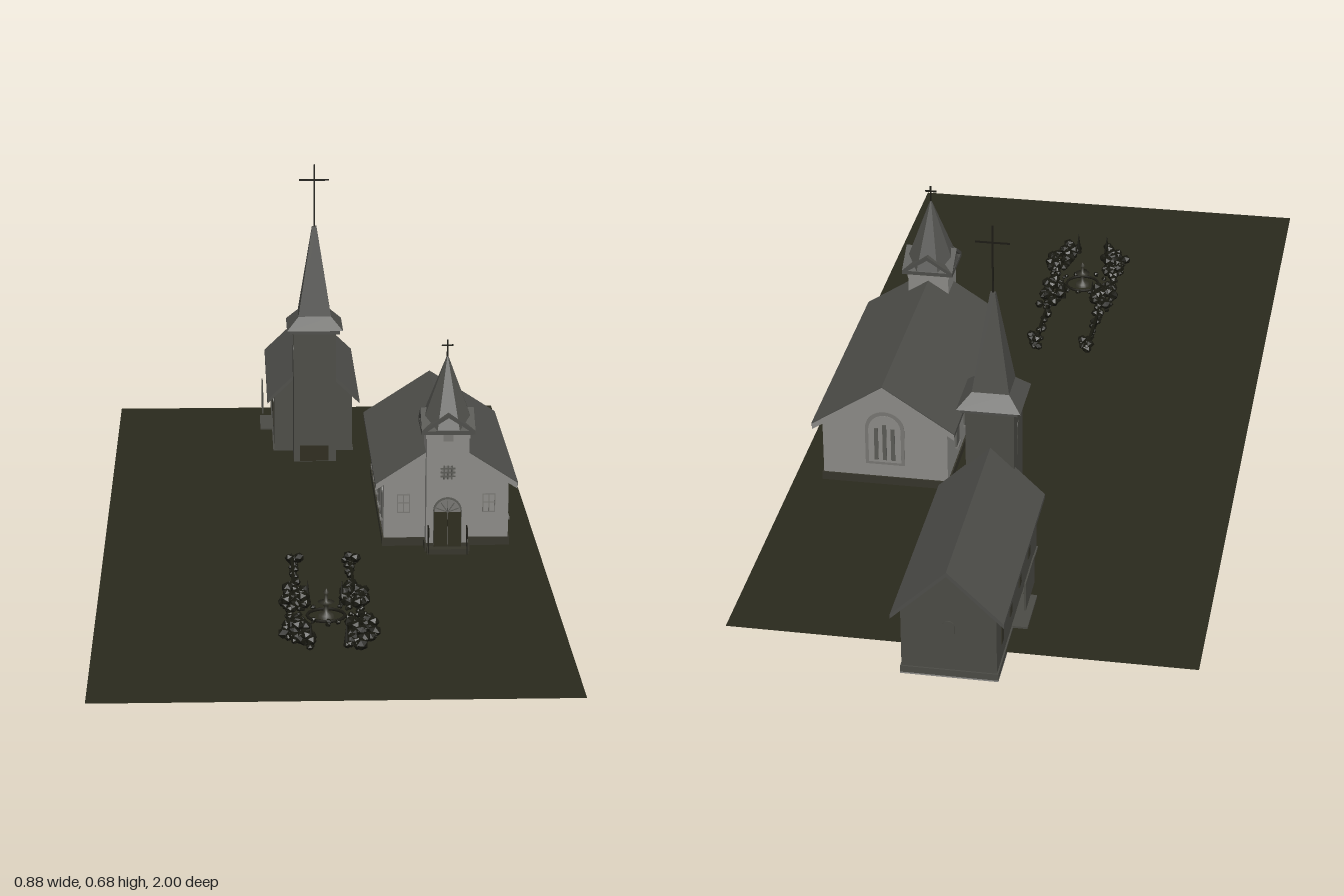
import * as THREE from 'three';

const mat = (name, color) => {
  const m = new THREE.MeshStandardMaterial({ color, side: THREE.DoubleSide });
  m.name = name;
  return m;
};

export function createModel() {
  const M = {
    ground: mat('dark earth', 0x2a291d),
    pale: mat('pale wall', 0x8b8a86),
    trim: mat('pale trim', 0x777672),
    dark: mat('dark wall', 0x4b4b45),
    roof: mat('roof slate', 0x4d4d49),
    glass: mat('window grey', 0x5a5a55),
    door: mat('olive door', 0x2c2a1b),
    plinth: mat('plinth', 0x35342a),
    iron: mat('iron', 0x1c1b14),
    leaf: mat('dark leaves', 0x17170f),
  };
  const root = new THREE.Group();
  const group = (name, x, z) => {
    const g = new THREE.Group();
    g.name = name;
    g.position.set(x, 0, z);
    root.add(g);
    return g;
  };
  const add = (g, name, geo, m, x = 0, y = 0, z = 0, ry = 0) => {
    const mesh = new THREE.Mesh(geo, m);
    mesh.name = name;
    mesh.position.set(x, y, z);
    mesh.rotation.y = ry;
    g.add(mesh);
    return mesh;
  };
  // box given by its limits
  const box = (g, name, m, x0, x1, y0, y1, z0, z1) =>
    add(g, name, new THREE.BoxGeometry(x1 - x0, y1 - y0, z1 - z0), m,
      (x0 + x1) / 2, (y0 + y1) / 2, (z0 + z1) / 2);
  // outline extruded along z
  const extrude = (pts, depth) => new THREE.ExtrudeGeometry(
    new THREE.Shape(pts.map(p => new THREE.Vector2(...p))), { depth, bevelEnabled: false });
  const gableWalls = (hw, y0, eave, ridge, len) =>
    extrude([[-hw, y0], [hw, y0], [hw, eave], [0, ridge], [-hw, eave]], len);
  const gableRoof = (hw, eave, ridge, t, len) =>
    extrude([[-hw, eave], [-hw, eave - t], [0, ridge - t], [hw, eave - t], [hw, eave], [0, ridge]], len);
  // round-topped plate
  const arch = (w, h, t = 0.004) => {
    const s = new THREE.Shape();
    s.moveTo(-w / 2, 0);
    s.lineTo(w / 2, 0);
    s.lineTo(w / 2, h - w / 2);
    s.absarc(0, h - w / 2, w / 2, 0, Math.PI, false);
    s.lineTo(-w / 2, 0);
    return new THREE.ExtrudeGeometry(s, { depth: t, bevelEnabled: false, curveSegments: 8 });
  };
  // square frustum, optionally without its ends
  const frustum = (top, bottom, h, open = false) => {
    const g = new THREE.CylinderGeometry(top * Math.SQRT2, bottom * Math.SQRT2, h, 4, 1, open).toNonIndexed();
    g.rotateY(Math.PI / 4);
    g.computeVertexNormals();
    return g;
  };
  const cross = (g, y0, y1, armY, arm, t) => {
    box(g, 'crossPost', M.iron, -t, t, y0, y1, -t / 3, t / 3);
    box(g, 'crossArm', M.iron, -arm, arm, armY - t, armY + t, -t / 3, t / 3);
  };

  // Ground sheet
  add(root, 'ground', new THREE.PlaneGeometry(0.883, 1.91).rotateX(-Math.PI / 2), M.ground, 0, 0.013, 0.045);

  // ---- Tall dark church ----
  const A = group('tallChurch', 0.005, 0);
  add(A, 'naveWalls', gableWalls(0.088, 0.004, 0.138, 0.224, 0.435), M.dark, 0, 0, -0.985);
  add(A, 'naveRoof', gableRoof(0.104, 0.133, 0.232, 0.009, 0.455), M.roof, 0, 0, -1);
  box(A, 'navePlinth', M.dark, -0.091, 0.09, 0.003, 0.016, -0.988, -0.548);
  box(A, 'naveFloor', M.pale, -0.091, 0.09, 0, 0.003, -0.988, -0.548);
  box(A, 'sideStep', M.dark, -0.118, -0.088, 0.004, 0.017, -0.83, -0.72);
  box(A, 'sideStepBase', M.pale, -0.118, -0.091, 0.001, 0.004, -0.83, -0.72);
  box(A, 'sideScreen', M.dark, -0.114, -0.111, 0.05, 0.108, -0.825, -0.725);
  for (const z of [-0.64, -0.74, -0.84, -0.93]) {
    add(A, 'naveWindow', arch(0.026, 0.065, 0.003), M.dark, 0.087, 0.05, z, Math.PI / 2);
    add(A, 'naveWindow', arch(0.022, 0.065, 0.003), M.plinth, -0.087, 0.05, z, -Math.PI / 2);
  }
  add(A, 'backWindow', arch(0.022, 0.06, 0.003), M.dark, 0, 0.06, -0.984, Math.PI);
  const tA = group('tallTower', 0.006, -0.508);
  add(tA, 'shaft', frustum(0.047, 0.047, 0.31, true), M.dark, 0, 0.155, 0);
  box(tA, 'cornice', M.roof, -0.055, 0.055, 0.308, 0.317, -0.055, 0.055);
  add(tA, 'spireSkirt', frustum(0.036, 0.062, 0.027), M.roof, 0, 0.3305, 0);
  add(tA, 'spire', frustum(0.005, 0.036, 0.197), M.roof, 0, 0.4425, 0);
  for (const i of [-1, 0, 1]) {
    const a = i * Math.PI / 2;
    add(tA, 'towerWindow', arch(0.022, 0.07, 0.002), M.dark,
      Math.sin(a) * 0.046, 0.2, Math.cos(a) * 0.046, a);
  }
  box(tA, 'towerDoor', M.door, -0.034, 0.03, 0.015, 0.05, 0.045, 0.05);
  cross(tA, 0.53, 0.68, 0.645, 0.033, 0.0018);

  // ---- Small pale church ----
  const B = group('paleChurch', 0.255, 0);
  add(B, 'naveWalls', gableWalls(0.127, 0.014, 0.152, 0.235, 0.5), M.pale, 0, 0, -0.36);
  add(B, 'naveRoof', gableRoof(0.145, 0.15, 0.244, 0.008, 0.53), M.roof, 0, 0, -0.377);
  for (const z of [0.151, -0.378])
    add(B, 'vergeBoard', gableRoof(0.144, 0.148, 0.242, 0.012, 0.003), M.pale, 0, 0, z);
  box(B, 'navePlinth', M.plinth, -0.13, 0.13, 0.011, 0.03, -0.363, 0.143);
  box(B, 'naveFloor', M.pale, -0.13, 0.13, 0.009, 0.011, -0.363, 0.143);
  for (const s of [-1, 1]) {
    for (let i = 0; i < 5; i++) {
      const z = 0.098 - i * 0.09;
      add(B, 'naveWindow', arch(0.03, 0.07), M.glass, s * 0.126, 0.062, z, s * Math.PI / 2);
      box(B, 'windowSill', M.trim, s * 0.13 - 0.003, s * 0.13 + 0.003, 0.058, 0.062, z - 0.017, z + 0.017);
    }
    // framed windows of the front gable
    const x = s * 0.087;
    box(B, 'frontWindow', M.pale, x - 0.012, x + 0.012, 0.086, 0.122, 0.139, 0.143);
    for (const y of [0.084, 0.104, 0.121])
      box(B, 'frontWindowBar', M.trim, x - 0.013, x + 0.013, y, y + 0.002, 0.139, 0.145);
    for (const dx of [-0.012, 0, 0.012])
      box(B, 'frontWindowBar', M.trim, x + dx - 0.001, x + dx + 0.001, 0.085, 0.122, 0.139, 0.145);
  }
  add(B, 'backWindow', arch(0.08, 0.12, 0.003), M.trim, 0, 0.058, -0.359, Math.PI);
  add(B, 'backWindowPane', arch(0.066, 0.106, 0.002), M.pale, 0, 0.064, -0.361, Math.PI);
  for (const x of [-0.017, 0, 0.017])
    box(B, 'backWindowBar', M.glass, x - 0.004, x + 0.004, 0.07, 0.15 - Math.abs(x) * 0.5, -0.365, -0.362);

  const tB = group('paleTower', 0.255, 0.135);
  box(tB, 'shaft', M.pale, -0.043, 0.043, 0.013, 0.275, -0.043, 0.043);
  box(tB, 'towerPlinth', M.plinth, -0.046, 0.046, 0.0115, 0.03, -0.046, 0.046);
  // cross gables under the spire
  for (let i = 0; i < 2; i++) {
    const g = new THREE.Group();
    g.name = 'crossGable';
    g.rotation.y = i * Math.PI / 2;
    tB.add(g);
    add(g, 'gableWall', gableWalls(0.043, 0.25, 0.272, 0.297, 0.09), M.pale, 0, 0, -0.045);
    add(g, 'gableRoof', gableRoof(0.054, 0.269, 0.304, 0.008, 0.108), M.roof, 0, 0, -0.054);
  }
  const spire = new THREE.CylinderGeometry(0.002, 0.058, 0.14, 8).toNonIndexed();
  spire.rotateY(Math.PI / 8);
  spire.computeVertexNormals();
  add(tB, 'spire', spire, M.roof, 0, 0.34, 0);
  cross(tB, 0.4, 0.445, 0.433, 0.012, 0.0018);
  // front of the tower
  add(tB, 'doorSurround', arch(0.058, 0.1, 0.004), M.glass, 0, 0.027, 0.042);
  add(tB, 'fanlight', arch(0.052, 0.095, 0.002), M.trim, 0, 0.028, 0.046);
  for (const s of [-1, 1]) {
    box(tB, 'doorLeaf', M.door, s * 0.014 - 0.0135, s * 0.014 + 0.0135, 0.024, 0.097, 0.046, 0.05);
    // hand rails beside the steps
    for (const z of [0.048, 0.066])
      box(tB, 'railPost', M.iron, s * 0.039 - 0.001, s * 0.039 + 0.001, 0.013, 0.068, z - 0.001, z + 0.001);
    box(tB, 'rail', M.iron, s * 0.039 - 0.001, s * 0.039 + 0.001, 0.066, 0.069, 0.047, 0.067);
  }
  for (let i = 0; i < 5; i++) {
    const bar = box(tB, 'fanlightBar', M.glass, -0.0008, 0.0008, 0, 0.024, 0.047, 0.05);
    bar.geometry.translate(0, 0.012, 0);
    bar.position.y = 0.097;
    bar.rotation.z = (i - 2) * 0.6;
  }
  box(tB, 'step', M.plinth, -0.042, 0.042, 0.0115, 0.024, 0.04, 0.067);
  box(tB, 'towerFloor', M.pale, -0.046, 0.046, 0.0095, 0.0115, 0.008, 0.067);
  add(tB, 'roundWindow', new THREE.CylinderGeometry(0.014, 0.014, 0.004, 12).rotateX(Math.PI / 2), M.trim, 0, 0.18, 0.044);
  for (const d of [-0.008, 0, 0.008]) {
    box(tB, 'roundWindowBar', M.glass, d - 0.0015, d + 0.0015, 0.166, 0.194, 0.045, 0.048);
    box(tB, 'roundWindowBar', M.glass, -0.015, 0.015, 0.1785 + d, 0.1815 + d, 0.045, 0.048);
  }
  add(tB, 'atticWindow', arch(0.02, 0.022, 0.003), M.trim, 0, 0.245, 0.043);

  // ---- Garden ----
  const G = group('garden', -0.004, 0);
  let seed = 7;
  const rnd = () => (seed = (seed * 16807) % 2147483647) / 2147483647;
  const bush = new THREE.IcosahedronGeometry(1, 0);
  const clump = (x, z, spread, n, size) => {
    for (let i = 0; i < n; i++) {
      const r = size * (0.6 + 0.7 * rnd());
      const b = add(G, 'bush', bush, M.leaf, x + (rnd() - 0.5) * spread,
        0.014 + r * (0.7 + 1.2 * rnd()), z + (rnd() - 0.5) * spread, rnd() * 3);
      b.scale.set(r, r * 0.9, r);
    }
  };
  for (const s of [-1, 1]) {
    // path edging with small shrubs
    box(G, 'pathEdge', M.leaf, s * 0.058 - 0.003, s * 0.058 + 0.003, 0.014, 0.03, 0.26, 0.48);
    for (let i = 0; i < 9; i++) clump(s * 0.058, 0.26 + i * 0.024, 0.015, 3, 0.007);
    // larger beds
    clump(s * 0.058, 0.265, 0.028, 7, 0.009);
    for (const z of [0.465, 0.49, 0.515, 0.53]) clump(s * 0.058, z, 0.042, 11, 0.01);
    for (const z of [0.55, 0.58, 0.61]) clump(s * 0.066, z, 0.018, 5, 0.008);
    for (const z of [0.64, 0.66, 0.685]) clump(s * 0.064, z, 0.046, 11, 0.01);
    for (const z of [0.71, 0.735]) clump(s * 0.048, z, 0.036, 9, 0.01);
    // pointed shrubs
    for (const z of [0.5, 0.73])
      add(G, 'pointedShrub', new THREE.ConeGeometry(0.007, 0.05, 6), M.leaf, s * 0.033, 0.04, z);
  }
  // fountain
  add(G, 'fountainRim', new THREE.TorusGeometry(0.036, 0.003, 6, 24).rotateX(Math.PI / 2), M.iron, 0, 0.018, 0.57);
  const profile = [[0.016, 0.014], [0.014, 0.02], [0.005, 0.026], [0.004, 0.038], [0.016, 0.045],
    [0.004, 0.047], [0.003, 0.06], [0.006, 0.064], [0, 0.072]].map(p => new THREE.Vector2(...p));
  add(G, 'fountainBowl', new THREE.LatheGeometry(profile, 16), M.plinth, 0, 0, 0.57);
  for (let i = 0; i < 12; i++) {
    const a = i * Math.PI / 6;
    clump(Math.cos(a) * 0.05, 0.57 + Math.sin(a) * 0.05, 0.008, 2, 0.005);
  }
  return root;
}
